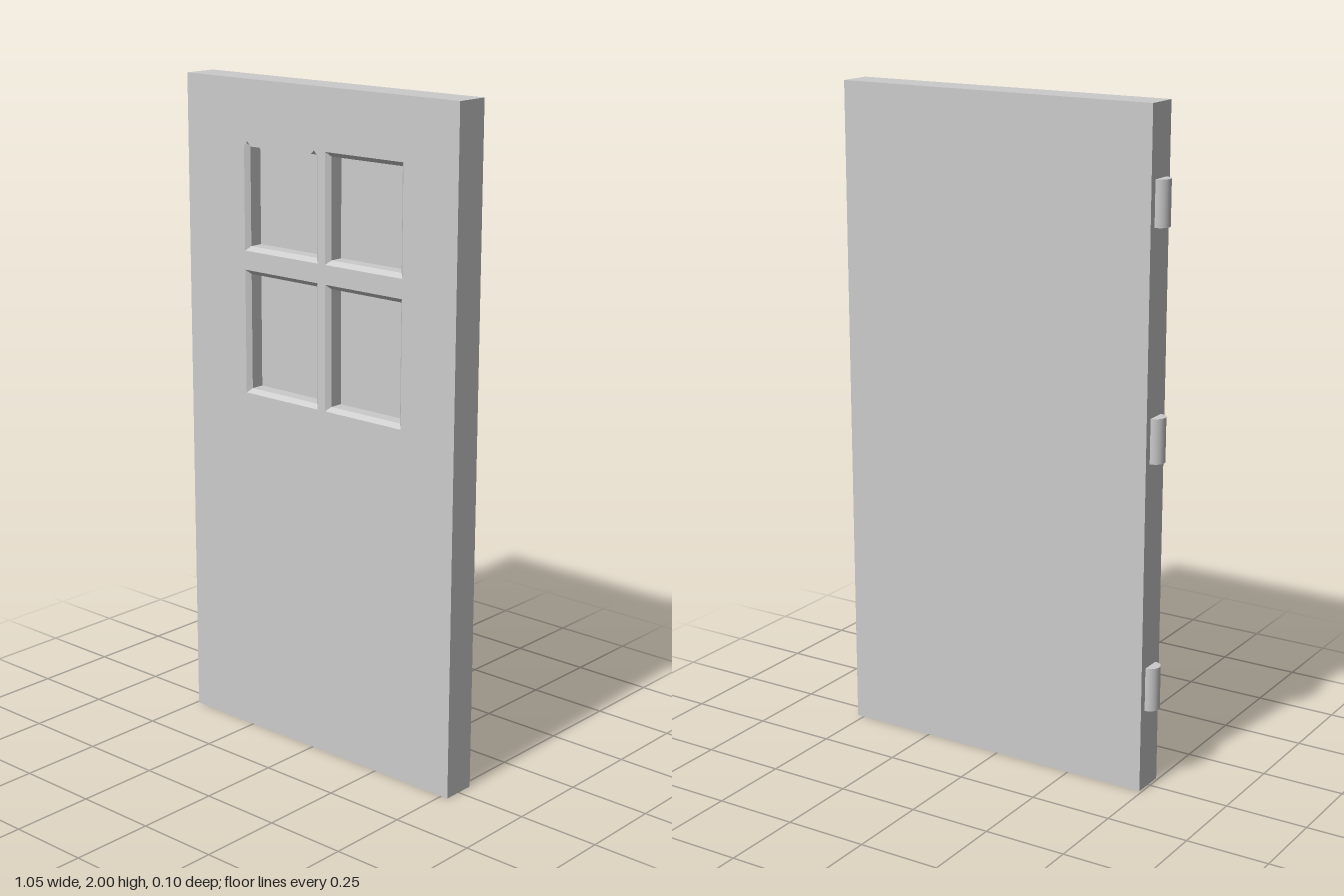
import * as THREE from 'three';

const X0 = -0.493, X1 = 0.523, H = 2, Z = 0.052; // slab extents
const BEVEL = 0.013, DEPTH = 0.054;              // window recess
const mat = new THREE.MeshStandardMaterial({ color: 0xcccccc });

const rect = (x0, x1, y0, y1, inset = 0) => [
  [x0 + inset, y0 + inset], [x1 - inset, y0 + inset],
  [x1 - inset, y1 - inset], [x0 + inset, y1 - inset],
];
const toVectors = (pts) => pts.map(([x, y]) => new THREE.Vector2(x, y));

// Four flat walls between rectangle a at depth za and rectangle b at depth zb.
// They face outward when za > zb and inward when za < zb.
function walls(a, za, b, zb) {
  const pos = [];
  for (let i = 0; i < 4; i++) {
    const j = (i + 1) % 4;
    const p = [...a[i], za], q = [...b[i], zb], r = [...b[j], zb], s = [...a[j], za];
    pos.push(...p, ...q, ...r, ...p, ...r, ...s);
  }
  const g = new THREE.BufferGeometry();
  g.setAttribute('position', new THREE.Float32BufferAttribute(pos, 3));
  g.computeVertexNormals();
  return g;
}

// Flat face at depth z with optional holes
function face(outline, z, holes = []) {
  const shape = new THREE.Shape(toVectors(outline));
  holes.forEach((h) => shape.holes.push(new THREE.Path(toVectors(h))));
  return new THREE.ShapeGeometry(shape).translate(0, 0, z);
}

export function createModel() {
  const door = new THREE.Group();
  door.name = 'door';
  const add = (parent, name, geometry) => {
    const mesh = new THREE.Mesh(geometry, mat);
    mesh.name = name;
    parent.add(mesh);
    return mesh;
  };

  // Recessed windows: bevelled rim, straight reveal, flat pane
  const openings = [];
  for (const [y0, y1] of [[1.07, 1.443], [1.5, 1.82]]) {
    for (const [x0, x1] of [[-0.265, 0.02], [0.049, 0.333]]) {
      const outer = rect(x0, x1, y0, y1), inner = rect(x0, x1, y0, y1, BEVEL);
      const win = new THREE.Group();
      win.name = 'window';
      add(win, 'windowBevel', walls(inner, Z - BEVEL, outer, Z));
      add(win, 'windowReveal', walls(inner, Z - DEPTH, inner, Z - BEVEL));
      add(win, 'windowPane', face(inner, Z - DEPTH));
      door.add(win);

      // The upper right-hand window has its top bevel covered, except for corner nicks
      const covered = y1 > 1.6 && x0 < 0, yc = y1 - BEVEL;
      openings.push(covered ? [
        [x0, y0], [x1, y0], [x1, yc], [x1 - BEVEL, y1], [x1 - 2 * BEVEL, yc],
        [x0 + 2 * BEVEL, yc], [x0 + BEVEL, y1], [x0, yc],
      ] : outer);
    }
  }

  // Door slab
  const slab = rect(X0, X1, 0, H);
  add(door, 'frontFace', face(slab, Z, openings));
  add(door, 'slabEdges', walls(slab, Z, slab, -Z));
  const back = face(slab, 0).rotateY(Math.PI).translate(X0 + X1, 0, -Z);
  add(door, 'backFace', back);

  // Half-round hinge knuckles on the right-hand edge
  for (const y of [0.313, 1.06, 1.728]) {
    const hinge = add(door, 'hinge',
      new THREE.CylinderGeometry(0.03, 0.03, 0.132, 16, 1, false, Math.PI, Math.PI));
    hinge.position.set(X0, y, 0);
  }
  return door;
}
